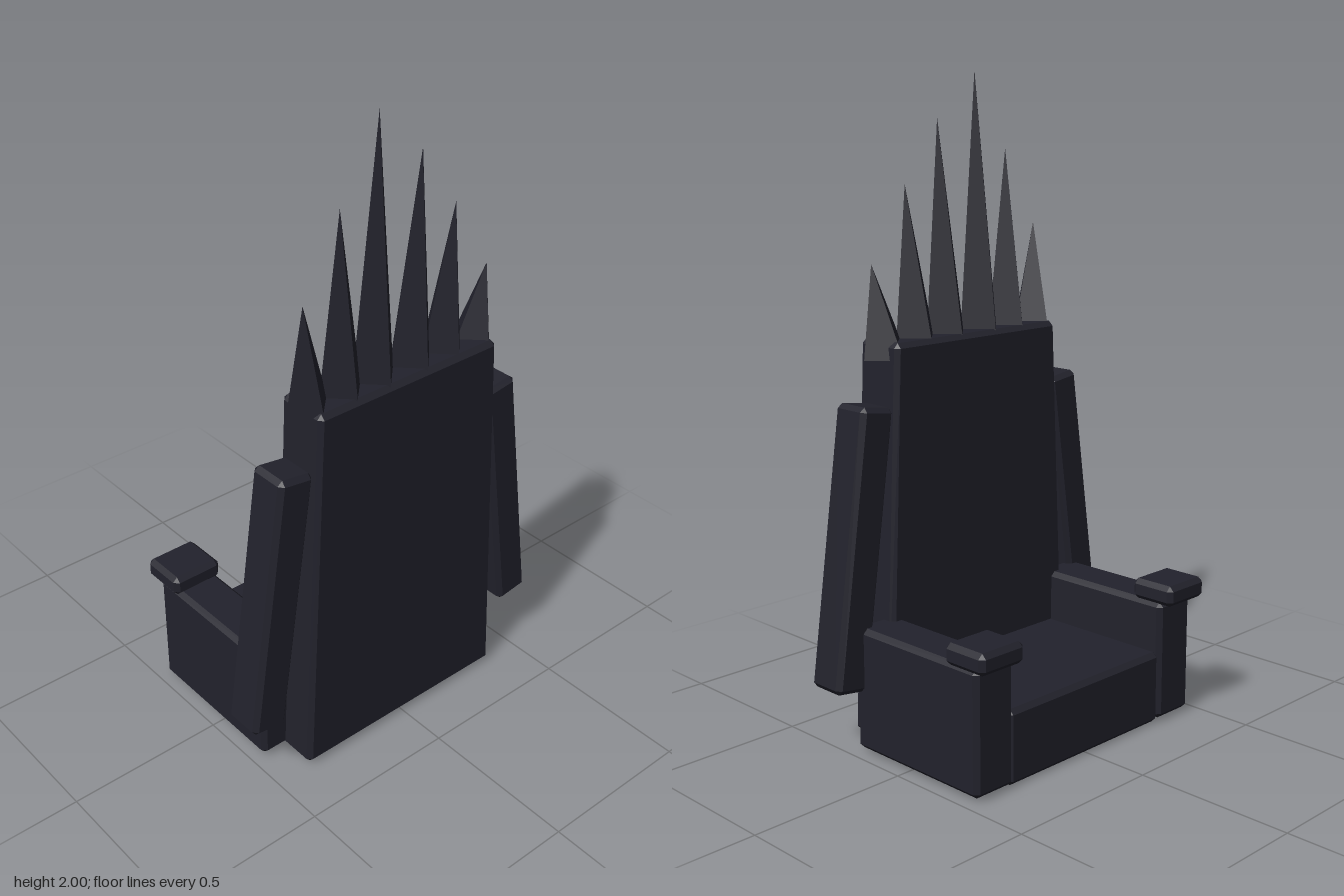
import * as THREE from 'three';
import { ConvexGeometry } from 'three/addons/geometries/ConvexGeometry.js';

const darkStone = new THREE.MeshStandardMaterial({ color: 0x22222c });
darkStone.name = 'darkStone';

// Box with chamfered edges; topScale narrows its width towards the top
function chamferBox(w, h, d, c, topScale = 1) {
  const points = [];
  for (const sx of [-1, 1]) for (const sy of [-1, 1]) for (const sz of [-1, 1]) {
    for (let axis = 0; axis < 3; axis++) {
      const inset = [c, c, c];
      inset[axis] = 0;
      const y = sy * (h / 2 - inset[1]);
      const taper = 1 + (topScale - 1) * (y / h + 0.5);
      points.push(new THREE.Vector3(sx * (w / 2 - inset[0]) * taper, y, sz * (d / 2 - inset[2])));
    }
  }
  return new ConvexGeometry(points);
}

// Four-sided spike whose tip leans away from the centre of its base
function spikeGeometry(radius, height, leanX, leanZ) {
  const geometry = new THREE.ConeGeometry(radius, height, 4).toNonIndexed();
  geometry.translate(0, height / 2, 0);
  const p = geometry.attributes.position;
  for (let i = 0; i < p.count; i++) {
    const t = p.getY(i) / height;
    p.setX(i, p.getX(i) + leanX * t);
    p.setZ(i, p.getZ(i) + leanZ * t);
  }
  geometry.computeVertexNormals();
  return geometry;
}

export function createModel() {
  const throne = new THREE.Group();
  throne.name = 'throne';

  function add(name, geometry, x, y, z) {
    const mesh = new THREE.Mesh(geometry, darkStone);
    mesh.name = name;
    mesh.position.set(x, y, z);
    throne.add(mesh);
    return mesh;
  }

  // Tall tapered back and low seat
  add('backrest', chamferBox(0.77, 1.215, 0.17, 0.015, 0.86), 0, 0.6145, 0.25);
  add('seat', chamferBox(0.66, 0.23, 0.49, 0.015), 0, 0.115, -0.042);

  // Arms, their caps, and the slanted slabs beside the back
  for (const side of [-1, 1]) {
    const prefix = side > 0 ? 'left' : 'right';
    add(prefix + 'Arm', chamferBox(0.15, 0.38, 0.515, 0.015), side * 0.393, 0.2, -0.038);
    add(prefix + 'ArmCap', chamferBox(0.17, 0.065, 0.155, 0.015), side * 0.4, 0.418, -0.26);
    const slab = add(prefix + 'SideSlab', chamferBox(0.12, 0.85, 0.13, 0.015), side * 0.449, 0.62, 0.245);
    slab.rotation.z = side * 0.14;
  }

  // Crown of spikes: base x, tip x, tip height
  const spikes = [
    [-0.308, -0.337, 1.53], [-0.193, -0.212, 1.765], [-0.075, -0.082, 2.0],
    [0.064, 0.072, 1.86], [0.185, 0.203, 1.67], [0.305, 0.336, 1.445],
  ];
  const baseY = 1.17;
  for (const [x, tipX, tipY] of spikes) {
    add('crownSpike', spikeGeometry(0.081, tipY - baseY, tipX - x, 0.02), x, baseY, 0.25);
  }
  return throne;
}
